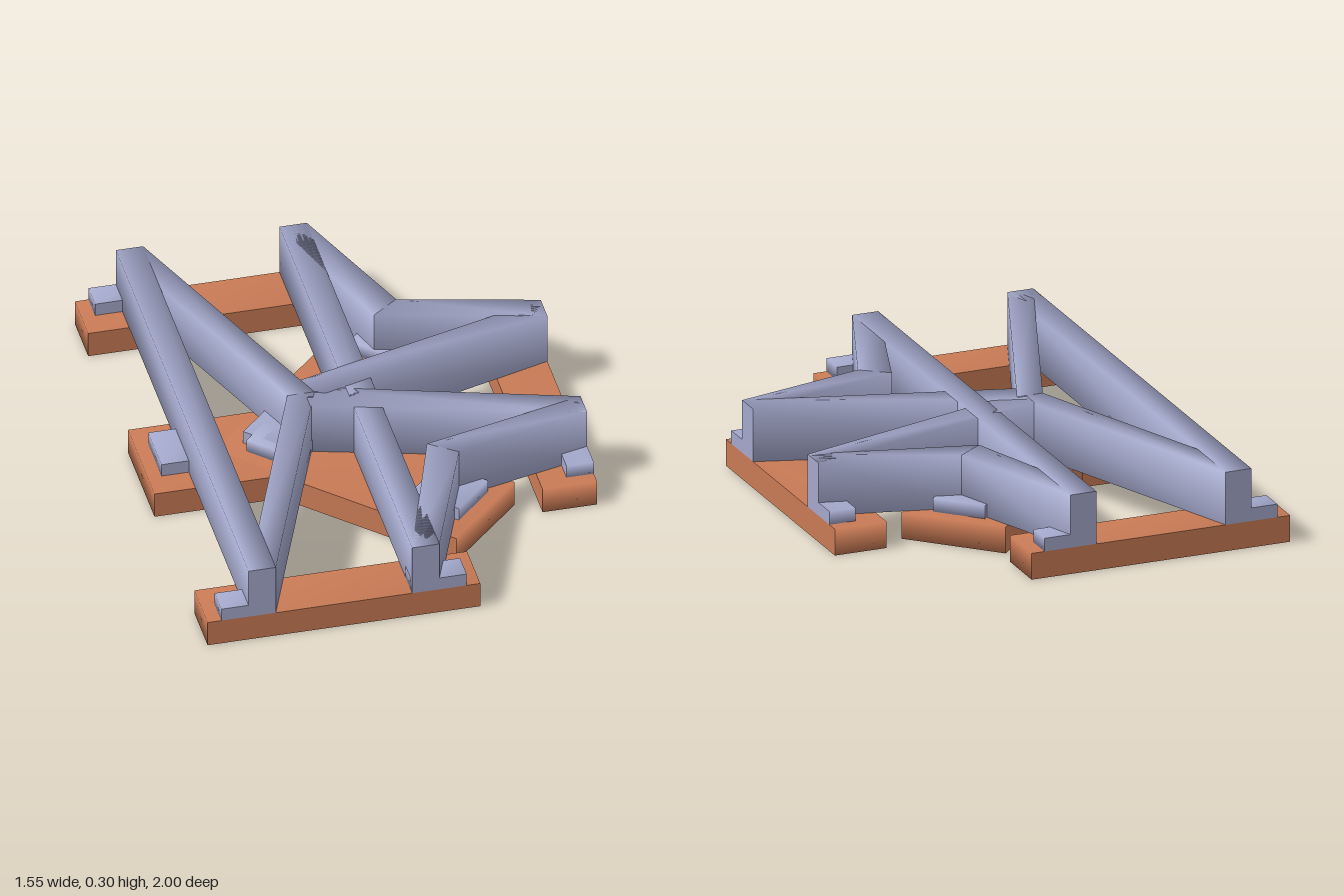
import * as THREE from 'three';

const bluegrey = new THREE.MeshStandardMaterial({ color: 0xa3a8cb });
bluegrey.name = 'blue grey';
const terracotta = new THREE.MeshStandardMaterial({ color: 0xc87a55 });
terracotta.name = 'terracotta';

// Loft between two upright rectangles: section = [xLeft, zLeft, xRight, zRight].
// Sides share normals, the end caps stay flat.
function loft(start, end, y0, y1) {
  const loop = ([ax, az, bx, bz]) => [ax, y0, az, bx, y0, bz, bx, y1, bz, ax, y1, az];
  const a = loop(start), b = loop(end);
  const index = [];
  for (let i = 0; i < 4; i++) {
    const j = (i + 1) % 4;
    index.push(i, j, j + 4, i, j + 4, i + 4);
  }
  index.push(8, 10, 9, 8, 11, 10, 12, 13, 14, 12, 14, 15);
  const g = new THREE.BufferGeometry();
  g.setAttribute('position', new THREE.Float32BufferAttribute([...a, ...b, ...a, ...b], 3));
  g.setIndex(index);
  g.computeVertexNormals();
  return g;
}

function add(parent, name, geometry, material) {
  const mesh = new THREE.Mesh(geometry, material);
  mesh.name = name;
  parent.add(mesh);
}

// Foot slab with a small pad near each end
function foot(name, width, padWidth, padOffset, x, z, angle) {
  const group = new THREE.Group();
  group.name = name;
  const w = width / 2, p0 = padOffset - padWidth / 2, p1 = padOffset + padWidth / 2;
  add(group, 'slab', loft([-0.5, -w, 0.5, -w], [-0.5, w, 0.5, w], 0, 0.1), terracotta);
  for (const x0 of [-0.45, 0.25]) {
    add(group, 'pad', loft([x0, p0, x0 + 0.2, p0], [x0, p1, x0 + 0.2, p1], 0.1, 0.15), bluegrey);
  }
  group.position.set(x, 0, z);
  group.rotation.y = angle;
  return group;
}

export function createModel() {
  const model = new THREE.Group();
  const beam = (name, s, e) => add(model, name, loft(s, e, 0.1, 0.3), bluegrey);
  const mirror = ([ax, az, bx, bz]) => [ax, -az, bx, -bz];
  const beamPair = (name, s, e) => {
    beam(name, s, e);
    beam(name, mirror(e), mirror(s));
  };

  // Long straight beams
  for (const x of [-0.625, -0.025]) {
    beam('longBeam', [x, -1, x + 0.1, -1], [x, 1, x + 0.1, 1]);
  }

  // Slanting beams meeting at the hub, and the outer bent beams
  beamPair('diagonalBeam', [-0.24, 0, -0.14, 0], [-0.625, 1, -0.525, 1]);
  beamPair('spokeBeam', [-0.175, 0.08, -0.175, -0.04], [0.775, 0.35, 0.775, 0.25]);
  beamPair('bentBeamOuter', [0.775, 0.25, 0.775, 0.35], [0.175, 0.4, 0.275, 0.475]);
  beamPair('bentBeamInner', [0.175, 0.4, 0.275, 0.475], [-0.025, 1, 0.075, 1]);

  // Half-width feet along the edges
  model.add(foot('frontFoot', 0.2, 0.1, 0.05, -0.275, 0.9, 0));
  model.add(foot('backFoot', 0.2, 0.1, 0.05, -0.275, -0.9, Math.PI));
  model.add(foot('sideFoot', 0.2, 0.1, 0.05, 0.675, 0, Math.PI / 2));

  // Full-width feet forming the three-armed centre
  model.add(foot('middleFoot', 0.4, 0.2, 0, -0.275, 0, 0));
  for (const s of [1, -1]) {
    model.add(foot('slantedFoot', 0.4, 0.2, 0, -0.006, 0.221 * s, -s * Math.PI / 4));
  }
  return model;
}
